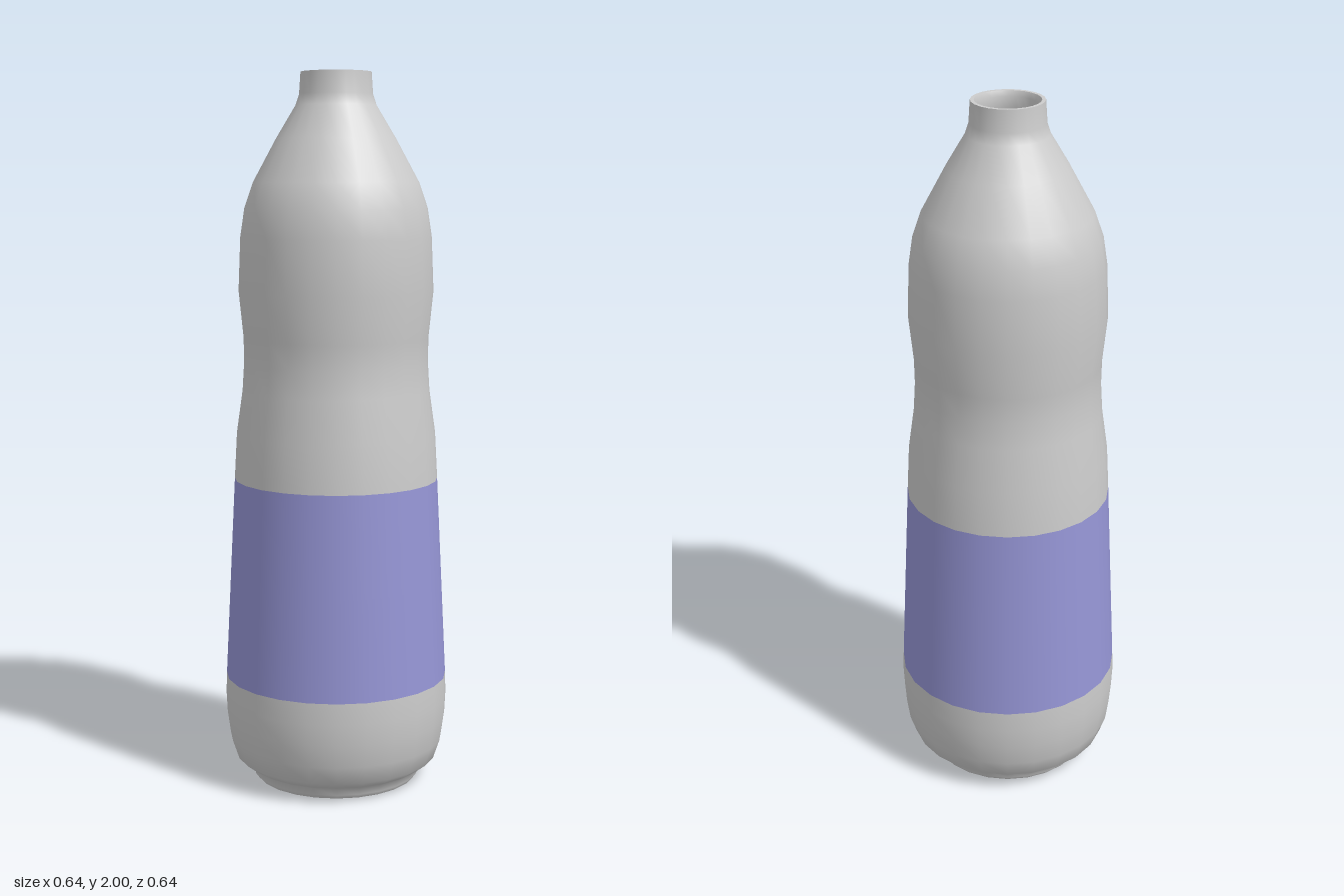
import * as THREE from 'three';

const SIDES = 24;

export function createModel() {
  const model = new THREE.Group();
  model.name = 'bottle';

  const shellGrey = new THREE.MeshStandardMaterial({ color: 0xcccccc });
  shellGrey.name = 'shellGrey';
  const labelViolet = new THREE.MeshStandardMaterial({ color: 0x9696d6 });
  labelViolet.name = 'labelViolet';

  // Each part is a turned [radius, height] profile; outer walls run upward.
  const turn = (name, profile, material) => {
    const points = profile.map(([r, y]) => new THREE.Vector2(r, y));
    const mesh = new THREE.Mesh(new THREE.LatheGeometry(points, SIDES), material);
    mesh.name = name;
    model.add(mesh);
  };

  // Recessed underside
  turn('baseDisc', [[0, 0.035], [0.135, 0.035]], shellGrey);
  turn('baseRecess', [[0.135, 0.035], [0.19, 0.015], [0.215, 0], [0.23, 0]], shellGrey);

  // Foot and rounded lower body
  turn('lowerBody', [
    [0.23, 0], [0.239, 0.012], [0.241, 0.03], [0.262, 0.042], [0.288, 0.062],
    [0.306, 0.115], [0.315, 0.18], [0.318, 0.24], [0.316, 0.3],
  ], shellGrey);

  // Flush label band
  turn('label', [[0.316, 0.3], [0.302, 0.585], [0.288, 0.87]], labelViolet);

  // Waist, shoulder and neck
  turn('upperBody', [
    [0.288, 0.87], [0.281, 1], [0.264, 1.12], [0.259, 1.2], [0.26, 1.27],
    [0.273, 1.4], [0.267, 1.55], [0.255, 1.63], [0.231, 1.7], [0.166, 1.82],
    [0.112, 1.91], [0.102, 1.94], [0.098, 2],
  ], shellGrey);

  // Mouth rim and hollow inside, running downward
  turn('rim', [[0.098, 2], [0.088, 2]], shellGrey);
  turn('innerWall', [
    [0.088, 2], [0.082, 1.985], [0.08, 1.93], [0.15, 1.81], [0.215, 1.69],
    [0.255, 1.4], [0.242, 1.2], [0.268, 0.87], [0.295, 0.3], [0.29, 0.15], [0.22, 0.06],
  ], shellGrey);
  turn('innerFloor', [[0.22, 0.06], [0, 0.06]], shellGrey);

  return model;
}
